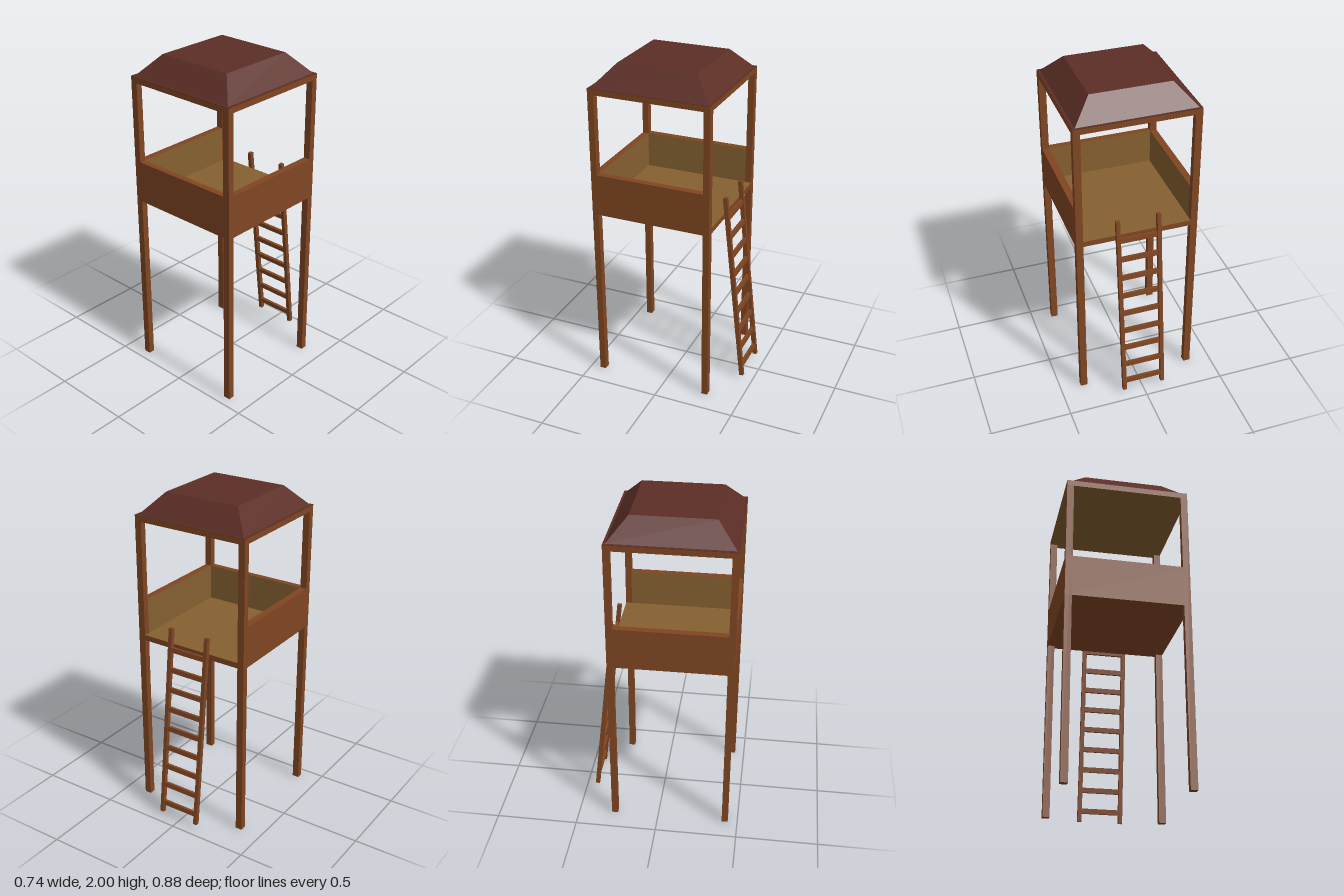
import * as THREE from 'three';

export function createModel() {
  const model = new THREE.Group();
  model.name = 'watchtower';
  const mat = (name, color) => {
    const m = new THREE.MeshStandardMaterial({ color });
    m.name = name;
    return m;
  };
  const wood = mat('brown wood', 0x804622);
  const lining = mat('pale inner boards', 0x856030);
  const roofing = mat('dark red roof', 0x5c2e26);

  // Tower footprint
  const X = 0.371, Z0 = -0.294, Z1 = 0.441;
  const ZC = (Z0 + Z1) / 2, D = Z1 - Z0;
  const PX = 0.042, PZ = 0.038;

  // Box helper; faces listed in lined (+x -x +y -y +z -z = 0..5) get the inner boards
  const box = (parent, name, size, pos, lined = []) => {
    const mats = [0, 1, 2, 3, 4, 5].map(i => (lined.includes(i) ? lining : wood));
    const mesh = new THREE.Mesh(new THREE.BoxGeometry(...size), lined.length ? mats : wood);
    mesh.name = name;
    mesh.position.set(...pos);
    parent.add(mesh);
    return mesh;
  };

  // Corner posts
  for (const [side, s] of [['left', 1], ['right', -1]]) {
    box(model, side + 'FrontPost', [PX, 1.85, PZ], [s * (X - PX / 2), 0.925, Z1 - PZ / 2]);
    box(model, side + 'BackPost', [PX, 1.85, PZ], [s * (X - PX / 2), 0.925, Z0 + PZ / 2]);
  }

  // Floor, and parapet on three sides (the back is open for the ladder)
  const floorY = 1.1, floorH = 0.034, wallTop = 1.355, wallH = wallTop - floorY;
  box(model, 'floor', [2 * X - 0.001, floorH, D - 0.001], [0, floorY + floorH / 2, ZC], [2]);
  const wallY = floorY + wallH / 2;
  box(model, 'frontWall', [2 * X, wallH, PZ], [0, wallY, Z1 - PZ / 2], [5]);
  const sideD = D - 2 * PZ;
  box(model, 'leftWall', [PX, wallH, sideD], [X - PX / 2, wallY, ZC], [1]);
  box(model, 'rightWall', [PX, wallH, sideD], [-X + PX / 2, wallY, ZC], [0]);

  // Ceiling slab, roof rim and hipped roof with a flat top
  box(model, 'ceiling', [2 * X, 0.034, D], [0, 1.857, ZC], [3]);
  const rim = new THREE.Mesh(new THREE.BoxGeometry(2 * X, 0.002, D), roofing);
  rim.name = 'roofRim';
  rim.position.set(0, 1.875, ZC);
  model.add(rim);

  const r = Math.SQRT2;
  const roofGeo = new THREE.CylinderGeometry(0.241 * r, 0.354 * r, 0.124, 4, 1)
    .rotateY(Math.PI / 4).toNonIndexed();
  roofGeo.computeVertexNormals();
  const roof = new THREE.Mesh(roofGeo, roofing);
  roof.name = 'roof';
  roof.position.set(0, 1.938, ZC);
  model.add(roof);

  // Leaning ladder at the back
  const foot = new THREE.Vector3(0, 0.027, -0.43);
  const head = new THREE.Vector3(0, 1.235, -0.298);
  const length = foot.distanceTo(head);
  const ladder = new THREE.Group();
  ladder.name = 'ladder';
  ladder.position.copy(foot);
  ladder.rotation.x = Math.atan2(head.z - foot.z, head.y - foot.y);
  for (const [side, s] of [['left', 1], ['right', -1]]) {
    box(ladder, side + 'Rail', [0.024, length, 0.026], [s * 0.125, length / 2, 0]);
  }
  for (let i = 0; i < 9; i++) {
    box(ladder, 'rung' + (i + 1), [0.228, 0.03, 0.018], [0, 0.065 + i * 0.1272, 0]);
  }
  model.add(ladder);
  return model;
}
